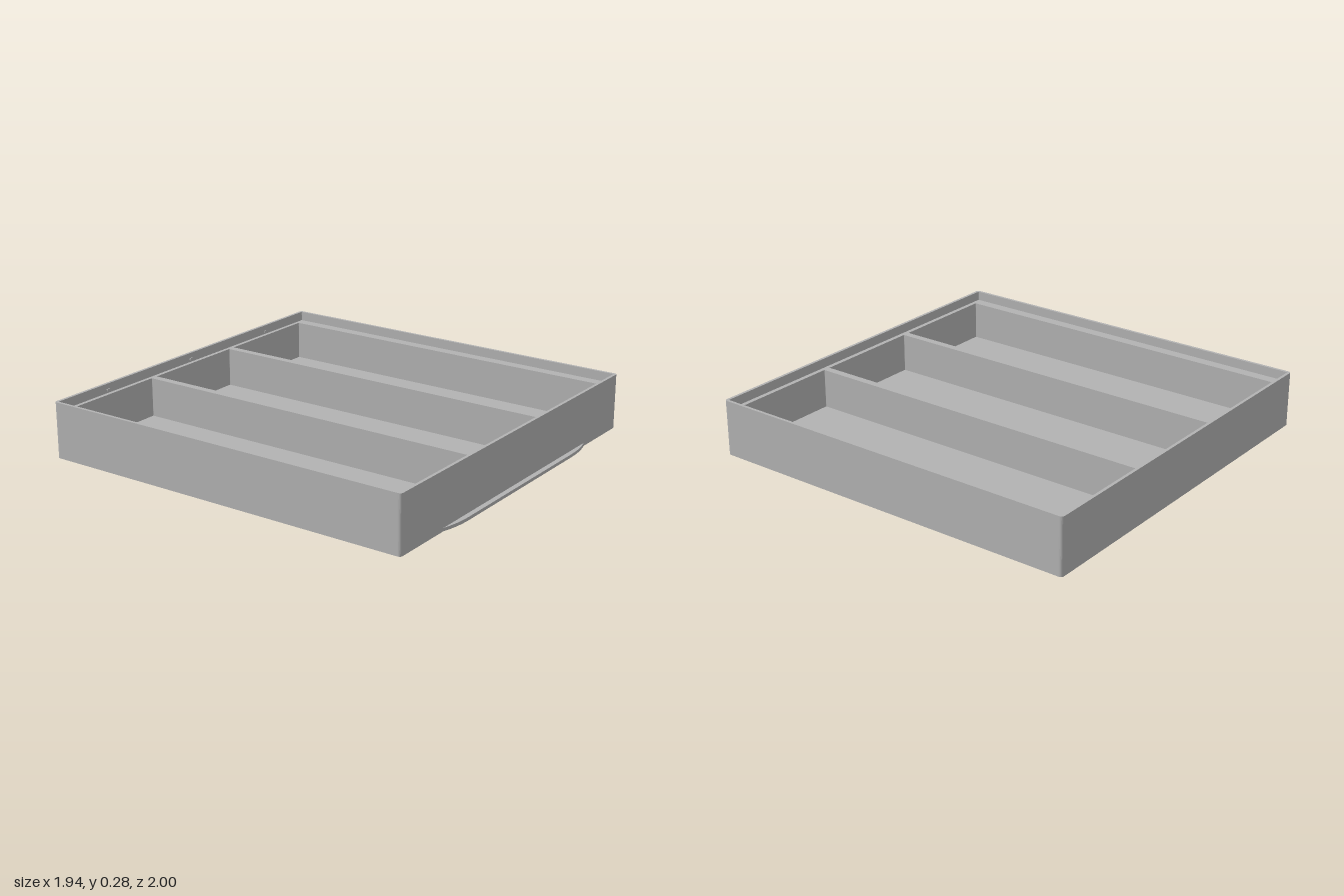
import * as THREE from 'three';

const BACK = -1, FRONT = 0.975, HALF = 0.97;
const FLOOR_Y = 0.035, LEDGE_Y = 0.235, TOP_Y = 0.283;

// Rounded rectangle in plan; shape y is -z
function trace(path, x0, x1, z0, z1, r) {
  const a = -z1, b = -z0;
  path.moveTo(x0 + r, a);
  path.lineTo(x1 - r, a);
  path.quadraticCurveTo(x1, a, x1, a + r);
  path.lineTo(x1, b - r);
  path.quadraticCurveTo(x1, b, x1 - r, b);
  path.lineTo(x0 + r, b);
  path.quadraticCurveTo(x0, b, x0, b - r);
  path.lineTo(x0, a + r);
  path.quadraticCurveTo(x0, a, x0 + r, a);
  return path;
}

export function createModel() {
  const model = new THREE.Group();
  model.name = 'dividedTray';
  const grey = new THREE.MeshStandardMaterial({ color: 0xb2b2b2 });
  grey.name = 'grey';

  // Extrudes a plan shape between two heights
  function slab(name, shape, y0, y1) {
    const geo = new THREE.ExtrudeGeometry(shape, { depth: y1 - y0, bevelEnabled: false, curveSegments: 6 });
    geo.rotateX(-Math.PI / 2).translate(0, y0, 0);
    const mesh = new THREE.Mesh(geo, grey);
    mesh.name = name;
    model.add(mesh);
  }
  const outline = () => trace(new THREE.Shape(), -HALF, HALF, BACK, FRONT, 0.018);

  slab('floor', outline(), 0, FLOOR_Y);

  // Walls and dividers around three compartments
  const walls = outline();
  for (const [x0, x1] of [[-0.9, -0.325], [-0.2875, 0.2875], [0.325, 0.9]]) {
    walls.holes.push(trace(new THREE.Path(), x0, x1, -0.965, 0.937, 0.002));
  }
  slab('wallsAndDividers', walls, FLOOR_Y, LEDGE_Y);

  // Thin raised rim around the lid recess
  const rim = outline();
  rim.holes.push(trace(new THREE.Path(), -0.955, 0.955, -0.985, 0.96, 0.005));
  slab('rim', rim, LEDGE_Y, TOP_Y);

  // Small catches on the back of the rim
  for (const x of [-0.62, 0, 0.62]) {
    const nub = new THREE.Mesh(new THREE.BoxGeometry(0.02, 0.012, 0.006), grey);
    nub.name = 'rimCatch';
    nub.position.set(x, 0.25, -0.983);
    model.add(nub);
  }

  // Low finger tab with curved ends along the front
  const tab = new THREE.Shape();
  tab.moveTo(-0.64, -FRONT + 0.005);
  tab.lineTo(-0.64, -FRONT);
  tab.quadraticCurveTo(-0.56, -1, -0.47, -1);
  tab.lineTo(0.47, -1);
  tab.quadraticCurveTo(0.56, -1, 0.64, -FRONT);
  tab.lineTo(0.64, -FRONT + 0.005);
  slab('fingerTab', tab, 0, 0.016);

  return model;
}
